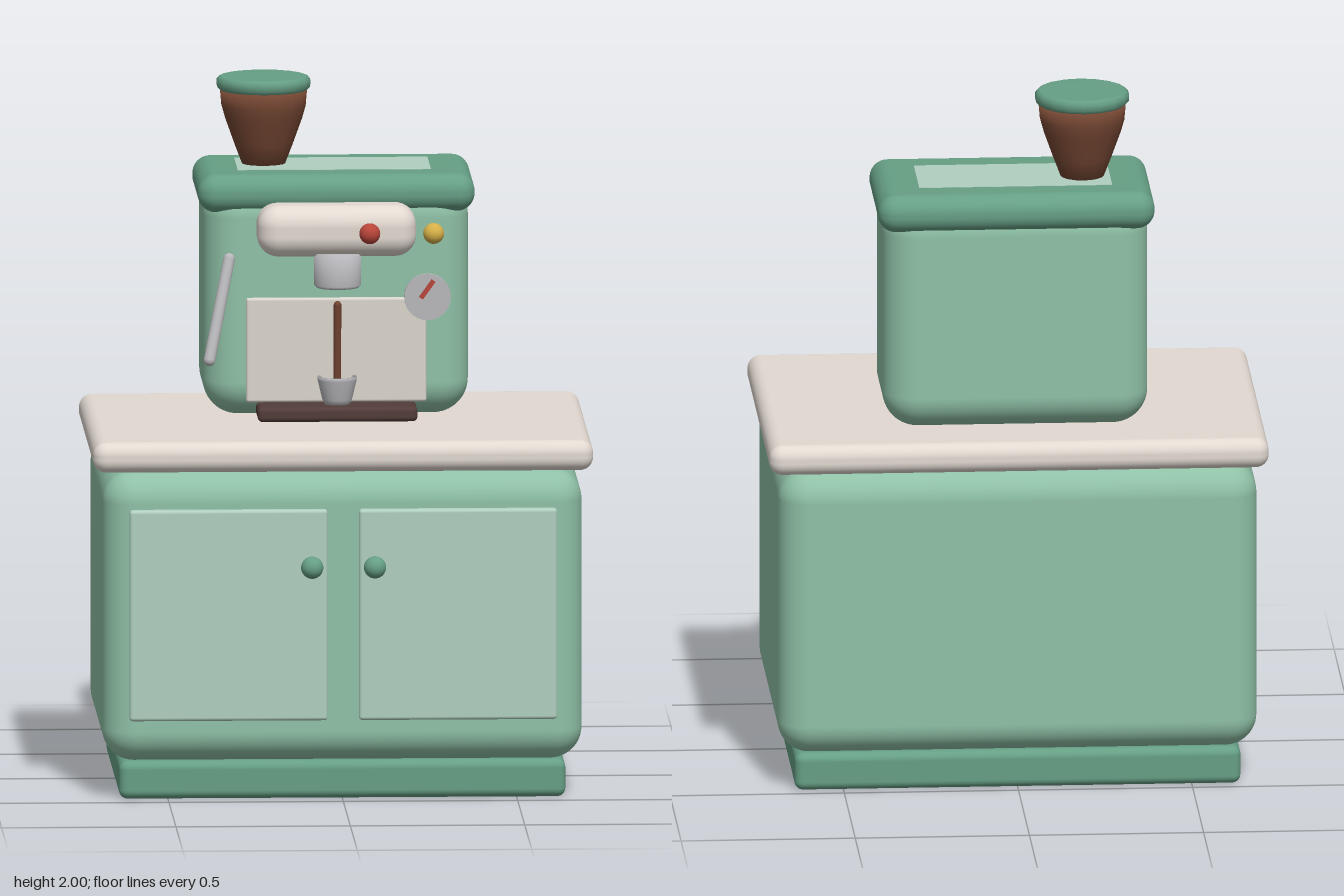
import * as THREE from 'three';
import { RoundedBoxGeometry } from 'three/addons/geometries/RoundedBoxGeometry.js';

const paint = (color) => new THREE.MeshStandardMaterial({ color });
const mint = paint(0x8fc1a6), green = paint(0x669f85), pale = paint(0xb0cfc0);
const cream = paint(0xe2d9d1), panelCream = paint(0xdad5cc), steel = paint(0xb8b8bc);
const brown = paint(0x744632), dark = paint(0x523c39), red = paint(0xb8453a), gold = paint(0xd6b048);

export function createModel() {
  const model = new THREE.Group();
  model.name = 'coffeeStation';

  const add = (name, geometry, material, x = 0, y = 0, z = 0) => {
    const mesh = new THREE.Mesh(geometry, material);
    mesh.name = name;
    mesh.position.set(x, y, z);
    model.add(mesh);
    return mesh;
  };
  // Rounded box given by its extents on each axis
  const block = (name, material, [x0, x1], [y0, y1], [z0, z1], radius, segments = 5) =>
    add(name, new RoundedBoxGeometry(x1 - x0, y1 - y0, z1 - z0, segments, radius), material,
      (x0 + x1) / 2, (y0 + y1) / 2, (z0 + z1) / 2);
  // Round bar between two points
  const rod = (name, material, from, to, radius) => {
    const a = new THREE.Vector3(...from), b = new THREE.Vector3(...to);
    const dir = b.clone().sub(a);
    const mesh = add(name, new THREE.CapsuleGeometry(radius, dir.length() - 2 * radius, 5, 14), material);
    mesh.position.copy(a.add(b).multiplyScalar(0.5));
    mesh.quaternion.setFromUnitVectors(new THREE.Vector3(0, 1, 0), dir.normalize());
    return mesh;
  };
  const ball = (name, material, x, y, z, r) =>
    add(name, new THREE.SphereGeometry(r, 24, 16), material, x, y, z);
  const lathe = (name, material, points, x, y, z, sides) =>
    add(name, new THREE.LatheGeometry(points.map((p) => new THREE.Vector2(...p)), sides), material, x, y, z);

  // Cabinet
  block('plinth', green, [-0.64, 0.64], [0, 0.11], [-0.475, 0.44], 0.025);
  block('cabinet', mint, [-0.687, 0.687], [0.11, 0.95], [-0.52, 0.485], 0.09, 8);
  block('countertop', cream, [-0.717, 0.717], [0.952, 1.04], [-0.553, 0.513], 0.038);
  for (const side of [-1, 1]) {
    block('door', pale, side < 0 ? [-0.613, -0.045] : [0.045, 0.613], [0.235, 0.845], [0.45, 0.508], 0.01, 3);
    ball('doorKnob', green, side * 0.09, 0.68, 0.522, 0.032);
  }

  // Coffee machine housing
  block('machineBody', mint, [-0.38, 0.38], [1.045, 1.72], [-0.428, 0.028], 0.1, 8);
  block('machineLid', green, [-0.397, 0.397], [1.635, 1.745], [-0.448, 0.04], 0.052, 6);
  block('warmingPlate', pale, [-0.28, 0.275], [1.735, 1.747], [-0.33, -0.085], 0.001, 1);
  block('backPanel', panelCream, [-0.26, 0.257], [1.09, 1.392], [0, 0.04], 0.008, 3);
  block('dripTray', dark, [-0.23, 0.228], [1.045, 1.088], [-0.06, 0.133], 0.014, 3);

  // Brewing head, stream and cup
  block('brewHead', cream, [-0.23, 0.225], [1.52, 1.668], [-0.05, 0.147], 0.06, 6);
  lathe('filterHolder', steel,
    [[0, 0], [0.06, 0], [0.068, 0.008], [0.068, 0.1], [0, 0.1]], 0, 1.43, 0.088, 24);
  rod('coffeeStream', brown, [0, 1.39, 0.092], [0, 1.13, 0.055], 0.011);
  lathe('cup', steel,
    [[0, 0], [0.036, 0], [0.043, 0.015], [0.056, 0.07], [0.057, 0.08], [0.05, 0.08], [0.036, 0.02], [0, 0.015]],
    0, 1.088, 0.06, 20);

  // Controls
  ball('brewButton', red, 0.09, 1.593, 0.153, 0.03);
  ball('steamKnob', gold, 0.273, 1.593, 0.153, 0.03);
  const gauge = add('pressureGauge', new THREE.CylinderGeometry(0.067, 0.067, 0.03, 28), steel, 0.26, 1.393, 0.028);
  gauge.rotation.x = Math.PI / 2;
  const needle = add('gaugeNeedle', new THREE.BoxGeometry(0.013, 0.062, 0.01), red, 0.259, 1.416, 0.046);
  needle.rotation.z = -0.62;
  rod('steamWand', steel, [-0.305, 1.52, 0.02], [-0.372, 1.21, 0.13], 0.017);

  // Bean hopper
  lathe('beanHopper', brown,
    [[0, 0], [0.058, 0], [0.085, 0.07], [0.112, 0.145], [0.122, 0.18], [0.126, 0.225], [0, 0.225]],
    -0.2, 1.735, -0.22, 18);
  lathe('hopperLid', green,
    [[0, 0], [0.125, 0], [0.135, 0.01], [0.136, 0.028], [0.128, 0.038], [0.122, 0.04], [0, 0.04]],
    -0.2, 1.96, -0.22, 18);

  return model;
}
